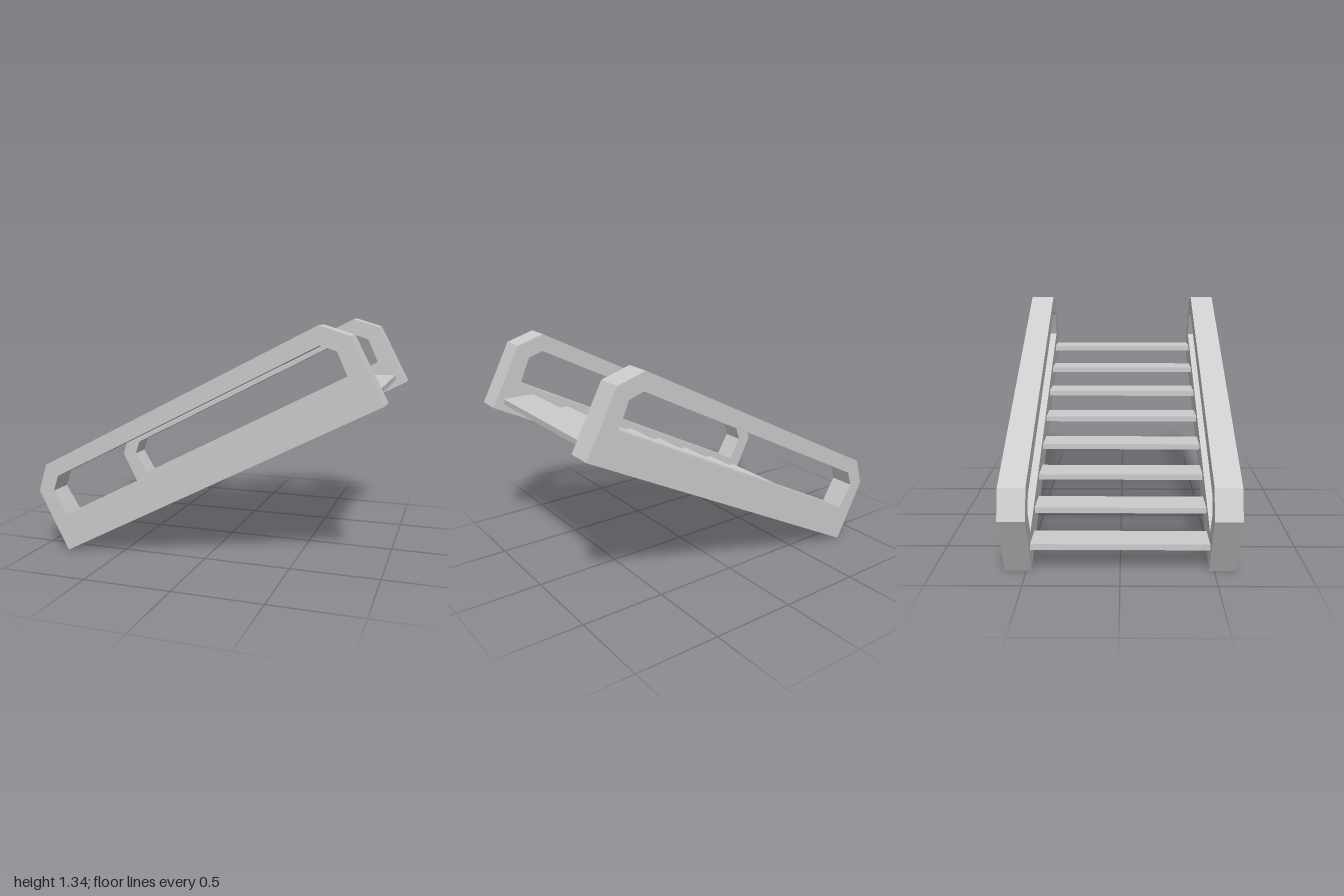
import * as THREE from 'three';

export function createModel() {
  const group = new THREE.Group();
  group.name = 'staircase';
  const material = new THREE.MeshStandardMaterial({ color: 0xcccccc, flatShading: true });
  const points = (list) => list.map(([x, y]) => new THREE.Vector2(x, y));

  const innerZ = 0.473, outerZ = 0.617;

  // Side frame: sloping stringer and handrail in one outline, with a long opening
  const outline = new THREE.Shape(points([
    [-0.82, 0], [1, 0.947], [0.82, 1.29], [0.657, 1.34], [-0.95, 0.508], [-1, 0.347],
  ]));
  outline.holes.push(new THREE.Path(points([
    [-0.82, 0.217], [-0.903, 0.355], [-0.873, 0.445], [0.667, 1.24], [0.755, 1.212], [0.82, 1.067],
  ])));
  const frameGeometry = new THREE.ExtrudeGeometry(outline, {
    depth: outerZ - innerZ, bevelEnabled: false,
  });
  for (const [name, z] of [['frontSideFrame', innerZ], ['backSideFrame', -outerZ]]) {
    const frame = new THREE.Mesh(frameGeometry, material);
    frame.name = name;
    frame.position.z = z;
    group.add(frame);
  }

  // Level treads climbing between the frames
  const treadCount = 8;
  const treadGeometry = new THREE.BoxGeometry(0.186, 0.032, innerZ * 2);
  for (let i = 0; i < treadCount; i++) {
    const t = i / (treadCount - 1);
    const tread = new THREE.Mesh(treadGeometry, material);
    tread.name = `tread${i + 1}`;
    tread.position.set(
      THREE.MathUtils.lerp(-0.757, 0.84, t),
      THREE.MathUtils.lerp(0.147, 0.973, t),
      0,
    );
    group.add(tread);
  }

  return group;
}
